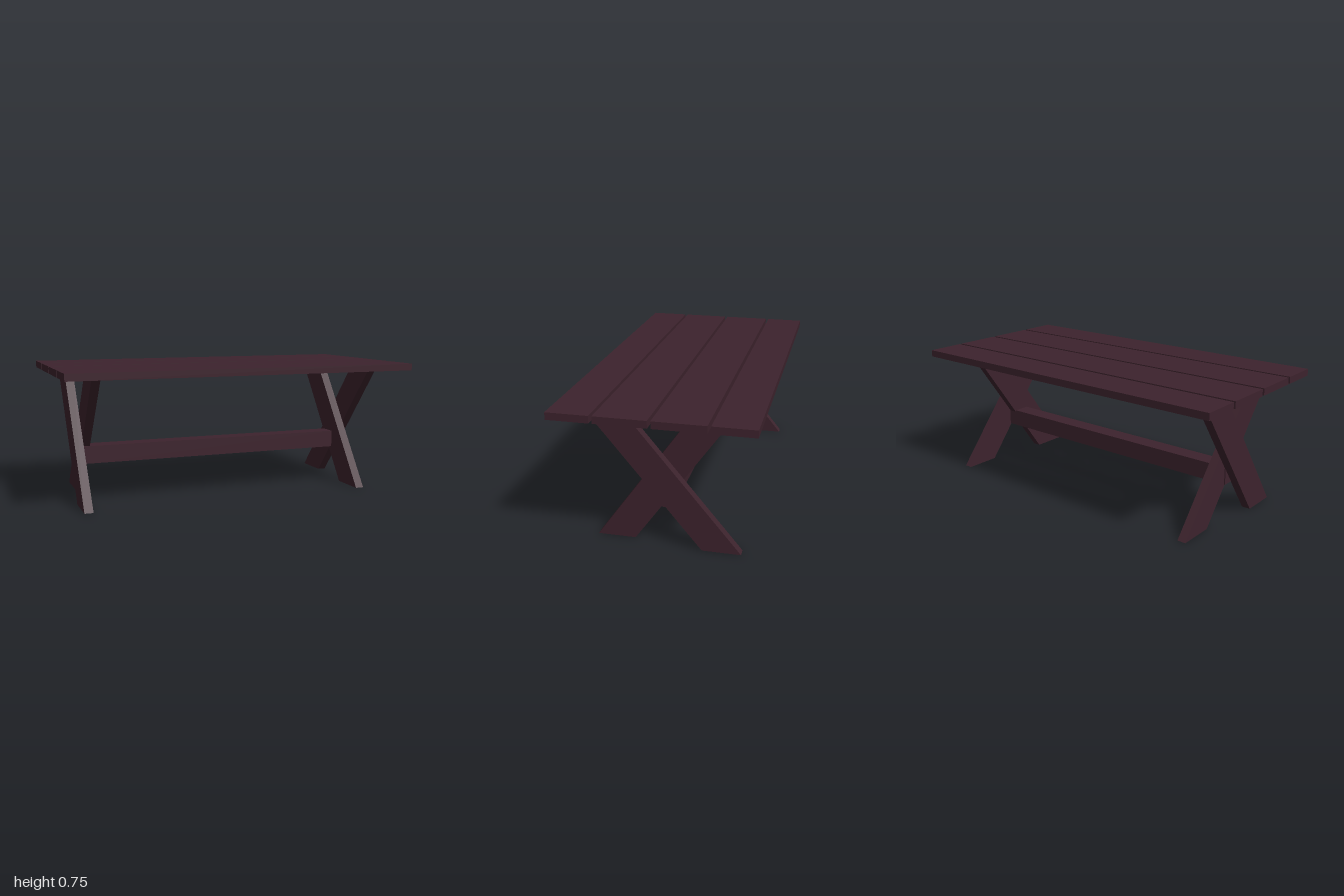
import * as THREE from 'three';

const wood = new THREE.MeshStandardMaterial({ color: 0x3d232d });
wood.name = 'dark stained wood';

const TOP = 0.754, UNDER = 0.715;

// Box given by its extents on each axis
function board(name, [x0, x1], [y0, y1], [z0, z1]) {
  const mesh = new THREE.Mesh(new THREE.BoxGeometry(x1 - x0, y1 - y0, z1 - z0), wood);
  mesh.position.set((x0 + x1) / 2, (y0 + y1) / 2, (z0 + z1) / 2);
  mesh.name = name;
  return mesh;
}

// Slanted leg board: a parallelogram in the z-y plane, cut level at floor and top
function leg(name, [x0, x1], [foot0, foot1], [head0, head1]) {
  const shape = new THREE.Shape([
    new THREE.Vector2(foot0, 0), new THREE.Vector2(foot1, 0),
    new THREE.Vector2(head1, UNDER), new THREE.Vector2(head0, UNDER),
  ]);
  const geo = new THREE.ExtrudeGeometry(shape, { depth: x1 - x0, bevelEnabled: false });
  geo.rotateY(-Math.PI / 2).translate(x1, 0, 0);
  const mesh = new THREE.Mesh(geo, wood);
  mesh.name = name;
  return mesh;
}

export function createModel() {
  const table = new THREE.Group();
  table.name = 'picnicTable';

  // Four top planks with narrow gaps
  const planks = [[-0.517, -0.297], [-0.28, -0.009], [0.008, 0.279], [0.296, 0.517]];
  planks.forEach((z, i) => table.add(board(`topPlank${i + 1}`, [-1, 1], [UNDER, TOP], z)));

  // Crossed legs: the same pair at each end, boards side by side
  for (const [side, x] of [['right', -0.889], ['left', 0.754]]) {
    const pair = new THREE.Group();
    pair.name = `${side}CrossedLegs`;
    pair.add(leg('innerSlantLeg', [x, x + 0.049], [0.144, 0.348], [-0.367, -0.163]));
    pair.add(leg('outerSlantLeg', [x + 0.053, x + 0.101], [-0.428, -0.224], [0.16, 0.363]));
    table.add(pair);
  }

  // Long stretcher between the leg pairs
  table.add(board('stretcher', [-0.842, 0.807], [0.203, 0.303], [-0.065, 0.036]));

  return table;
}
